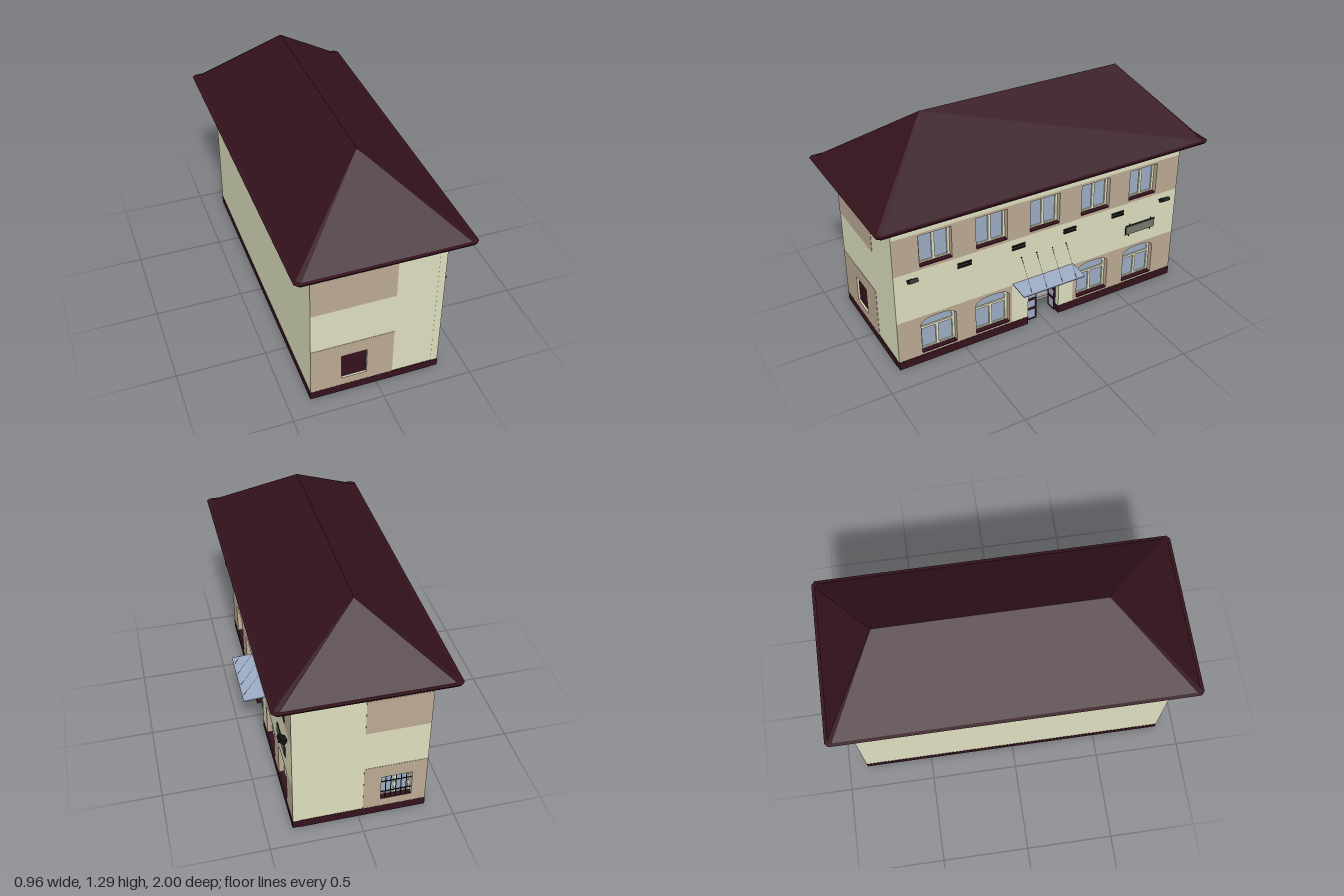
import * as THREE from 'three';

const mat = (color, side = THREE.FrontSide) =>
  new THREE.MeshStandardMaterial({ color, side, flatShading: true });
const cream = mat(0xdcddbd), tan = mat(0xbba994), maroon = mat(0x34121c), glass = mat(0x9cacc4),
  black = mat(0x151515), grey = mat(0x777a6c), stone = mat(0x999999), green = mat(0x2c4a12);

const X1 = 0.355, X0 = -0.37, Z = 0.89, T = 0.04, TOP = 0.915;

function add(parent, name, geo, material) {
  const m = new THREE.Mesh(geo, material);
  m.name = name;
  parent.add(m);
  return m;
}
// box given by its min and max corners
function box(parent, name, material, x0, x1, y0, y1, z0, z1) {
  const m = add(parent, name, new THREE.BoxGeometry(x1 - x0, y1 - y0, z1 - z0), material);
  m.position.set((x0 + x1) / 2, (y0 + y1) / 2, (z0 + z1) / 2);
  return m;
}
// rectangle outline, optionally with a shallow arched head
function outline(u0, u1, y0, y1, rise = 0, Kind = THREE.Shape) {
  const s = new Kind();
  s.moveTo(u0, y0);
  s.lineTo(u1, y0);
  s.lineTo(u1, y1 - rise);
  if (rise) s.quadraticCurveTo(u1 - 0.01, y1, (u0 + u1) / 2, y1).quadraticCurveTo(u0 + 0.01, y1, u0, y1 - rise);
  else s.lineTo(u0, y1);
  s.closePath();
  return s;
}
function slab(parent, name, material, shape, depth, holes = []) {
  shape.holes.push(...holes);
  const geo = new THREE.ExtrudeGeometry(shape, { depth, bevelEnabled: false, curveSegments: 8 });
  return add(parent, name, geo, material);
}
const hole = (u0, u1, y0, y1, rise) => outline(u0, u1, y0, y1, rise, THREE.Path);

// recessed window with frame, mullion, transom bar and sill; faces local +z
function windowUnit(parent, name, u, w, y0, y1, rise) {
  const g = new THREE.Group();
  g.name = name;
  const a = u - w / 2, b = u + w / 2, f = 0.014;
  slab(g, 'windowFrame', cream, outline(a, b, y0, y1, rise), 0.012,
    [hole(a + f, b - f, y0 + f, y1 - f, rise)]);
  slab(g, 'windowGlass', glass, outline(a + 0.004, b - 0.004, y0 + 0.004, y1 - 0.004, rise), 0.004);
  const split = rise ? y0 + 0.145 : y1 - f;
  box(g, 'mullion', cream, u - 0.008, u + 0.008, y0, split, 0.002, 0.012);
  if (rise) box(g, 'transomBar', cream, a + f, b - f, split - 0.006, split + 0.008, 0.002, 0.012);
  box(g, 'sill', maroon, a, b, y0, y0 + 0.006, 0.01, T);
  parent.add(g);
}

// entrance facade, drawn in its own plane (u = -z) and turned to face +x
function facade() {
  const g = new THREE.Group();
  g.name = 'entranceFacade';
  const upper = [-0.65, -0.325, 0, 0.325, 0.645], lower = [-0.65, -0.325, 0.325, 0.645];
  const UW = 0.185, LW = 0.208;
  const cut = (us, w, y0, y1, r) => us.map(u => hole(u - w / 2, u + w / 2, y0, y1, r));
  slab(g, 'upperBand', tan, outline(-Z, Z, 0.6, 0.82), T, cut(upper, UW, 0.615, 0.805, 0));
  slab(g, 'wallTop', cream, outline(-Z, Z, 0.82, TOP), T);
  slab(g, 'wallMiddle', cream, outline(-Z, Z, 0.305, 0.6), T);
  slab(g, 'lowerBandFront', tan, outline(-Z, -0.205, 0.05, 0.305), T, cut(lower.slice(0, 2), LW, 0.06, 0.287, 0.035));
  slab(g, 'lowerBandBack', tan, outline(0.195, Z, 0.05, 0.305), T, cut(lower.slice(2), LW, 0.06, 0.287, 0.035));
  // door surround
  box(g, 'doorSurround', cream, -0.205, -0.1, 0.05, 0.305, 0, T);
  box(g, 'doorSurround', cream, 0.1, 0.195, 0.05, 0.305, 0, T);
  box(g, 'doorLintel', cream, -0.1, 0.1, 0.27, 0.305, 0, T);
  for (const [a, b] of [[-Z, -0.1], [0.1, Z]]) box(g, 'plinth', maroon, a, b, 0, 0.05, 0, T + 0.002);
  for (const u of upper) windowUnit(g, 'upperWindow', u, UW, 0.615, 0.805, 0);
  for (const u of lower) windowUnit(g, 'archedWindow', u, LW, 0.06, 0.287, 0.035);
  // pairs of dark wall bars
  for (const u of [-0.49, -0.165, 0.16, 0.48])
    for (const y of [0.541, 0.559]) box(g, 'wallBar', black, u - 0.04, u + 0.04, y - 0.005, y + 0.005, T, T + 0.008);
  // framed board
  box(g, 'boardFrame', black, 0.543, 0.747, 0.387, 0.447, T, T + 0.004);
  box(g, 'boardPanel', grey, 0.548, 0.742, 0.392, 0.442, T, T + 0.007);
  for (const u of [0.57, 0.72]) box(g, 'boardPost', black, u - 0.003, u + 0.003, 0.375, 0.457, T, T + 0.003);
  // floodlights on arms
  for (const u of [-0.795, 0.79]) {
    box(g, 'lightArm', black, u - 0.006, u + 0.006, 0.553, 0.563, T, T + 0.025);
    const lamp = new THREE.Group();
    lamp.name = 'floodlight';
    box(lamp, 'lampBody', black, -0.025, 0.025, -0.01, 0.01, -0.02, 0.02);
    box(lamp, 'lampLens', grey, -0.018, 0.018, -0.012, -0.006, -0.014, 0.014);
    lamp.position.set(u, 0.567, T + 0.026);
    lamp.rotation.x = -0.6;
    g.add(lamp);
  }
  // canopy with tie rods
  const canopy = box(g, 'canopy', glass, -0.2, 0.19, 0.303, 0.309, T, T + 0.123);
  canopy.rotation.x = 0.07;
  for (const u of [-0.145, -0.05, 0.05, 0.14]) {
    const path = new THREE.LineCurve3(new THREE.Vector3(u, 0.47, T), new THREE.Vector3(u, 0.304, T + 0.115));
    add(g, 'tieRod', new THREE.TubeGeometry(path, 1, 0.0009, 4), stone);
    box(g, 'rodAnchor', black, u - 0.003, u + 0.003, 0.467, 0.473, T, T + 0.003);
  }
  // doorway: green transom, one closed leaf, one leaf swung inward
  box(g, 'doorTransom', green, -0.1, 0.1, 0.22, 0.27, 0.005, 0.025);
  const leaf = (name) => {
    const d = new THREE.Group();
    d.name = name;
    const panes = [[0.01, 0.07], [0.085, 0.135], [0.15, 0.208]];
    slab(d, 'leafFrame', maroon, outline(0, 0.068, 0.002, 0.218), 0.01, panes.map(([a, b]) => hole(0.007, 0.061, a, b)));
    box(d, 'leafGlass', glass, 0.004, 0.064, 0.006, 0.212, 0.003, 0.007);
    g.add(d);
    return d;
  };
  leaf('closedDoorLeaf').position.set(-0.1, 0, 0.008);
  const open = leaf('openDoorLeaf');
  open.position.set(0.09, 0, 0.008);
  open.rotation.y = Math.PI / 2;
  g.rotation.y = Math.PI / 2;
  g.position.x = X1 - T;
  return g;
}

// end wall facing local +z, with an inner opening in a tan patch
function endWall(name, x0, x1, p0, p1, w0, w1, bars) {
  const g = new THREE.Group();
  g.name = name;
  const y0 = 0.1, y1 = 0.265;
  slab(g, 'wall', cream, outline(x0, x1, 0.002, TOP), T, [hole(w0, w1, y0, y1)]);
  const patch = slab(g, 'lowerPatch', tan, outline(p0, p1, 0.05, 0.348), 0.0015, [hole(w0, w1, y0, y1)]);
  patch.position.z = T;
  box(g, 'upperPatch', tan, p0, p1, 0.6, 0.816, T, T + 0.0015);
  box(g, 'plinth', maroon, x0, x1, 0, 0.05, 0.006, T + 0.002);
  if (!bars) box(g, 'shutter', maroon, w0, w1, y0, y1, 0.015, 0.03);
  else {
    box(g, 'windowGlass', glass, w0, w1, y0, y1, 0.006, 0.01);
    slab(g, 'windowFrame', cream, outline(w0, w1, y0, y1), 0.014, [hole(w0 + 0.01, w1 - 0.01, y0 + 0.01, y1 - 0.01)]);
    box(g, 'mullion', cream, (w0 + w1) / 2 - 0.006, (w0 + w1) / 2 + 0.006, y0, y1, 0.006, 0.014);
    box(g, 'sill', maroon, w0, w1, y0, y0 + 0.006, 0.01, T);
    for (let i = 1; i < 6; i++) {
      const x = w0 + (w1 - w0) * i / 6;
      box(g, 'grilleBar', black, x - 0.002, x + 0.002, y0, y1, 0.03, 0.034);
    }
    for (const y of [0.145, 0.22]) box(g, 'grilleRail', black, w0, w1, y - 0.002, y + 0.002, 0.029, 0.033);
  }
  return g;
}

// hipped roof: rings of eight points, lofted from soffit over the eaves to the ridge
function roof() {
  const cx = -0.007, hx = 0.472, c = 0.02, ridge = { front: 0.54, back: -0.67, y: 1.29 };
  const ring = (inset, y) => {
    const a = hx - inset, b = 1 - inset;
    return [[a, b - c], [a - c, b], [c - a, b], [-a, b - c], [-a, c - b], [c - a, -b], [a - c, -b], [a, c - b]]
      .map(([x, z]) => [x + cx, y, z]);
  };
  const rings = [ring(0.026, 0.912), ring(0.008, 0.916), ring(0, 0.93), ring(0.018, 0.932)];
  rings.push(rings[3].map(p => [cx, ridge.y, p[2] > 0 ? ridge.front : ridge.back]));
  const pos = [], tri = (...p) => p.forEach(v => pos.push(...v));
  for (let r = 0; r < rings.length - 1; r++)
    for (let i = 0; i < 8; i++) {
      const j = (i + 1) % 8, lo = rings[r], hi = rings[r + 1];
      tri(lo[i], hi[j], lo[j]);
      tri(lo[i], hi[i], hi[j]);
    }
  for (let i = 1; i < 7; i++) tri(rings[0][0], rings[0][i], rings[0][i + 1]);
  const geo = new THREE.BufferGeometry();
  geo.setAttribute('position', new THREE.Float32BufferAttribute(pos, 3));
  geo.computeVertexNormals();
  return new THREE.Mesh(geo, mat(0x34121c, THREE.DoubleSide));
}

export function createModel() {
  const house = new THREE.Group();
  house.name = 'house';
  const xi = X1 - T, xb = X0 + T;
  house.add(facade());
  const front = endWall('frontWall', X0, xi, X0, 0.09, -0.2, -0.058, false);
  front.position.z = Z - T;
  const back = endWall('backWall', -xi, -X0, 0.025, -X0, 0.12, 0.29, true);
  back.rotation.y = Math.PI;
  back.position.z = T - Z;
  house.add(front, back);
  // wall returns filling the corners beside the facade patches
  box(house, 'frontCorner', cream, xi, X1 - 0.001, 0.05, TOP, Z - 0.002, Z + 0.0005);
  box(house, 'backCorner', cream, xi, X1 - 0.001, 0.05, TOP, -Z - 0.0005, -Z + 0.002);
  // plain rear long wall
  box(house, 'longWall', cream, X0, xb, 0.002, TOP, T - Z, Z - T);
  box(house, 'plinth', maroon, X0 - 0.002, xb - 0.006, 0, 0.05, -Z, Z);

  // interior: ceiling, partitions and stair
  box(house, 'ceiling', cream, xb, xi, 0.39, 0.41, T - Z, Z - T);
  box(house, 'hallPartition', cream, xb, xi, 0.002, 0.39, 0.13, 0.15);
  box(house, 'hallPartition', cream, xb, xi, 0.002, 0.39, -0.16, -0.14);
  box(house, 'stairWall', cream, xb, 0.12, 0.002, 0.39, 0.005, 0.02);
  for (let i = 0; i < 9; i++) {
    const x = 0.2 - i * 0.045, y = (i + 1) * 0.022;
    box(house, 'stairStep', stone, x - 0.05, x, y - 0.02, y, -0.14, 0.005);
  }

  const top = roof();
  top.name = 'hippedRoof';
  house.add(top);
  return house;
}
